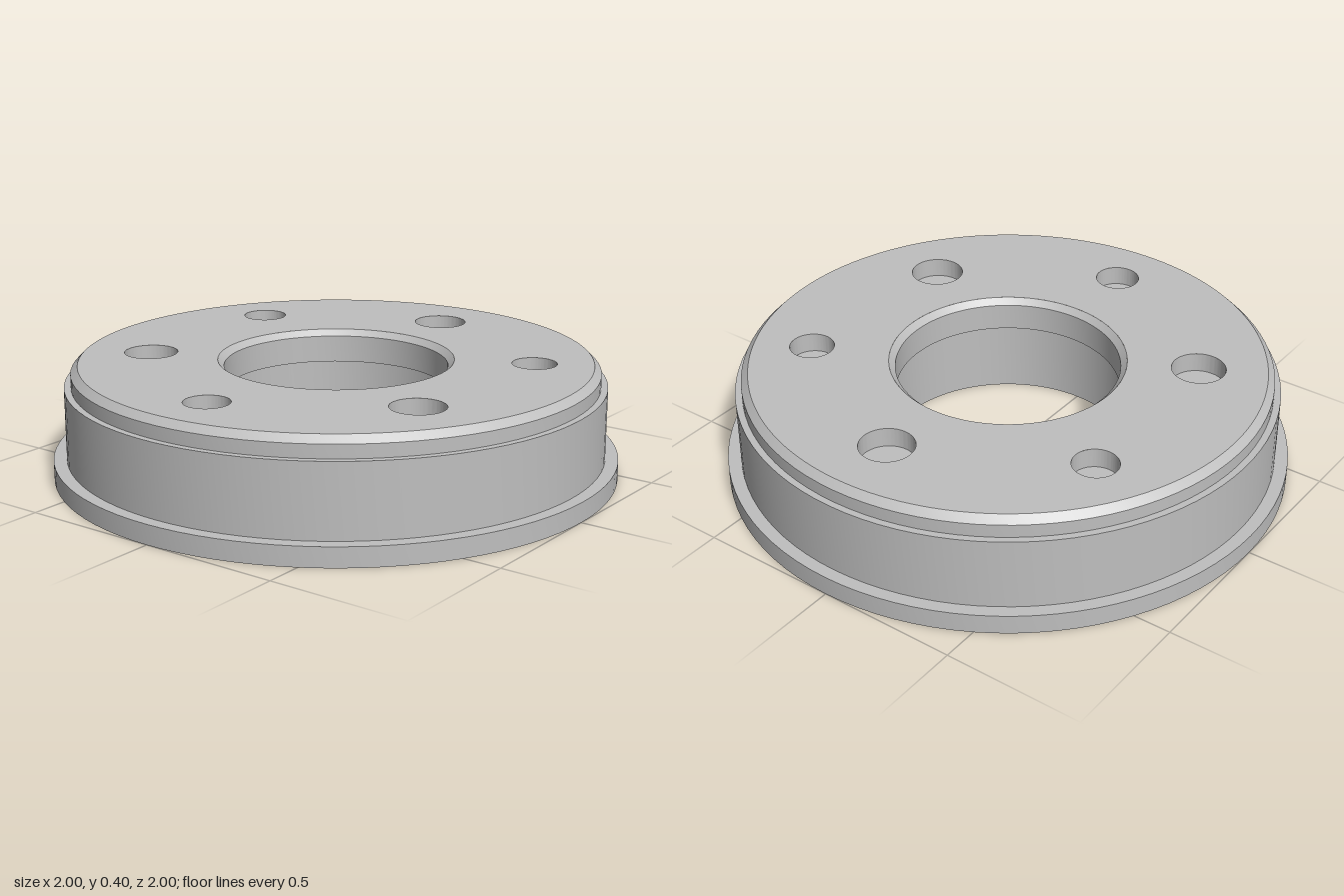
import * as THREE from 'three';
import { toCreasedNormals } from 'three/addons/utils/BufferGeometryUtils.js';

const SEGMENTS = 96;
const TOP = 0.4;
const HOLE_FLOOR = 0.33;

export function createModel() {
  const group = new THREE.Group();
  group.name = 'flangedRing';
  const metal = new THREE.MeshStandardMaterial({ color: 0xbfbfbf });
  metal.name = 'plain grey metal';

  const add = (name, geometry) => {
    const mesh = new THREE.Mesh(geometry, metal);
    mesh.name = name;
    group.add(mesh);
    return mesh;
  };
  const turned = (profile) => toCreasedNormals(
    new THREE.LatheGeometry(profile.map(([r, y]) => new THREE.Vector2(r, y)), SEGMENTS), 0.4);

  // Ring body: chamfered stepped bore, underside, flange, stepped rim and outer chamfer
  add('ringBody', turned([
    [0.417, TOP], [0.395, 0.378], [0.395, 0.28], [0.443, 0.28], [0.443, 0],
    [1, 0], [1, 0.07], [0.954, 0.07], [0.954, 0.328],
    [0.93, 0.328], [0.93, 0.375], [0.905, TOP],
  ]));

  // Blind holes, alternating large and small around the top face
  const holes = [];
  for (let i = 0; i < 6; i++) {
    const large = i % 2 === 0;
    const angle = Math.PI / 2 + i * Math.PI / 3;
    const distance = large ? 0.665 : 0.697;
    holes.push({
      name: large ? 'largeHole' : 'smallHole',
      x: Math.cos(angle) * distance,
      y: Math.sin(angle) * distance,
      r: large ? 0.095 : 0.079,
    });
  }

  // Flat top face, pierced by the bore and the holes
  const face = new THREE.Shape().absarc(0, 0, 0.905, 0, Math.PI * 2);
  for (const { x, y, r } of [{ x: 0, y: 0, r: 0.417 }, ...holes]) {
    face.holes.push(new THREE.Path().absarc(x, y, r, 0, Math.PI * 2, true));
  }
  add('topFace', new THREE.ShapeGeometry(face, SEGMENTS).rotateX(-Math.PI / 2).translate(0, TOP, 0));

  // Walls and floors of the blind holes
  for (const { name, x, y, r } of holes) {
    add(name + 'Wall', turned([[r, TOP], [r, HOLE_FLOOR]])).position.set(x, 0, -y);
    add(name + 'Floor', new THREE.CircleGeometry(r, SEGMENTS).rotateX(-Math.PI / 2))
      .position.set(x, HOLE_FLOOR, -y);
  }

  return group;
}
